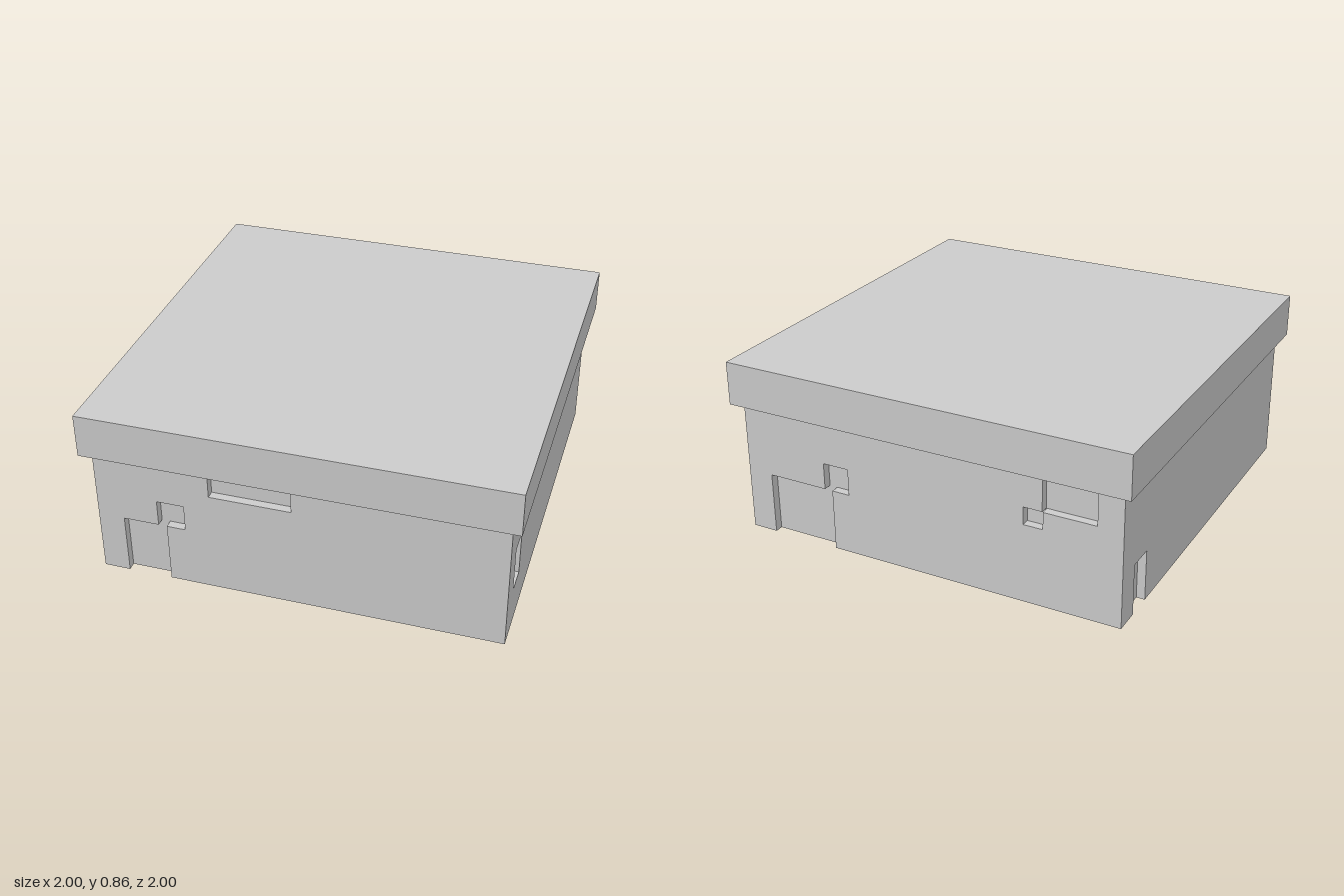
import * as THREE from 'three';

const HALF = 0.955;      // half width of the body
const DEPTH = 0.04;      // depth of the recesses
const INNER = HALF - DEPTH;
const WALL_TOP = 0.645;
const TOP = 0.855;

const material = new THREE.MeshStandardMaterial({ color: 0xcccccc, flatShading: true });

// Doorway with a small square step on its upper right corner
const doorway = (left, right, stepLeft, stepRight) => [
  [left, 0], [left, 0.3], [stepLeft, 0.3], [stepLeft, 0.43],
  [stepRight, 0.43], [stepRight, 0.3], [right, 0.3], [right, 0],
];

// Each wall seen from outside: cuts in the bottom edge (left to right),
// cuts in the top edge (right to left), and closed windows [x0, y0, x1, y1]
const walls = [
  {
    name: 'frontWall', turn: 0, half: HALF,
    bottom: doorway(-0.83, -0.62, -0.66, -0.53),
    top: [[-0.02, WALL_TOP], [-0.02, 0.51], [-0.405, 0.51], [-0.405, WALL_TOP]],
    windows: [],
  },
  {
    name: 'rightWall', turn: Math.PI / 2, half: INNER,
    bottom: [],
    top: [[0.83, WALL_TOP], [0.83, 0.51], [0.66, 0.51], [0.66, WALL_TOP]],
    windows: [[-0.83, 0.21, -0.705, 0.43], [-0.665, 0.425, -0.62, 0.515]],
  },
  {
    name: 'backWall', turn: Math.PI, half: HALF,
    bottom: doorway(-0.83, -0.49, -0.53, -0.4),
    top: [
      [0.835, WALL_TOP], [0.835, 0.466], [0.583, 0.466], [0.583, 0.383],
      [0.49, 0.383], [0.49, 0.468], [0.58, 0.468], [0.58, WALL_TOP],
    ],
    windows: [],
  },
  {
    name: 'leftWall', turn: -Math.PI / 2, half: INNER,
    bottom: [[-0.83, 0], [-0.83, 0.247], [-0.7, 0.247], [-0.7, 0]],
    top: [],
    windows: [],
  },
];

function makeWall({ name, turn, half, bottom, top, windows }) {
  const outline = [[-half, 0], ...bottom, [half, 0], [half, WALL_TOP], ...top, [-half, WALL_TOP]];
  const shape = new THREE.Shape(outline.map(([x, y]) => new THREE.Vector2(x, y)));
  for (const [x0, y0, x1, y1] of windows) {
    shape.holes.push(new THREE.Path([[x0, y0], [x0, y1], [x1, y1], [x1, y0]]
      .map(([x, y]) => new THREE.Vector2(x, y))));
  }
  const geometry = new THREE.ExtrudeGeometry(shape, { depth: DEPTH, bevelEnabled: false });
  geometry.translate(0, 0, INNER);
  const mesh = new THREE.Mesh(geometry, material);
  mesh.name = name;
  mesh.rotation.y = turn;
  return mesh;
}

function makeBlock(name, width, y0, y1) {
  const mesh = new THREE.Mesh(new THREE.BoxGeometry(width, y1 - y0, width), material);
  mesh.name = name;
  mesh.position.y = (y0 + y1) / 2;
  return mesh;
}

export function createModel() {
  const model = new THREE.Group();
  model.name = 'flatRoofBuilding';
  // Solid core forms the back of every recess
  model.add(makeBlock('core', INNER * 2, 0, WALL_TOP));
  // Overhanging roof slab
  model.add(makeBlock('roof', 2, WALL_TOP, TOP));
  for (const wall of walls) model.add(makeWall(wall));
  return model;
}
